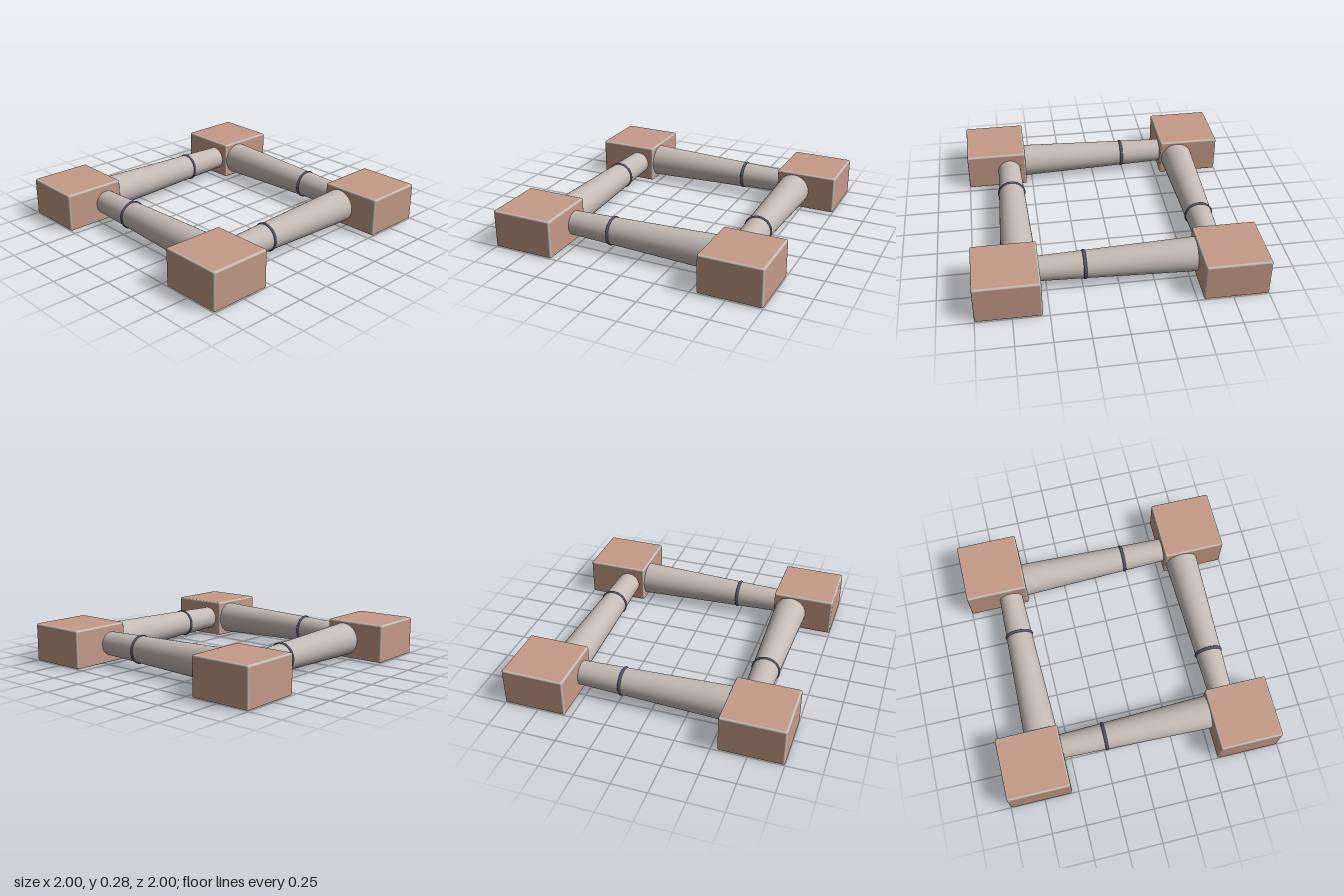
import * as THREE from 'three';
import { RoundedBoxGeometry } from 'three/addons/geometries/RoundedBoxGeometry.js';

const W = 0.453, H = 0.278;      // corner block footprint and height
const INSET = 0.011;             // width of the bare edge around each panel
const BLOCK = 1 - W / 2;         // block centre
const BAR = 0.677;               // bar axis distance from the middle

const material = (name, color) => {
  const m = new THREE.MeshStandardMaterial({ color });
  m.name = name;
  return m;
};

// Flat panel with slightly rounded corners, facing +z
function panelGeometry(w, h, r = 0.012) {
  const x = w / 2, y = h / 2;
  const s = new THREE.Shape();
  s.moveTo(-x + r, -y);
  s.lineTo(x - r, -y);
  s.quadraticCurveTo(x, -y, x, -y + r);
  s.lineTo(x, y - r);
  s.quadraticCurveTo(x, y, x - r, y);
  s.lineTo(-x + r, y);
  s.quadraticCurveTo(-x, y, -x, y - r);
  s.lineTo(-x, -y + r);
  s.quadraticCurveTo(-x, -y, -x + r, -y);
  return new THREE.ShapeGeometry(s, 4);
}

export function createModel() {
  const clay = material('clay panel', 0xc49a88);
  const stone = material('pale stone', 0xc5bbb6);
  const navy = material('navy band', 0x54546f);

  const add = (parent, name, geometry, mat) => {
    const mesh = new THREE.Mesh(geometry, mat);
    mesh.name = name;
    parent.add(mesh);
    return mesh;
  };

  const coreGeo = new RoundedBoxGeometry(W, H, W, 3, 0.012);
  const sideGeo = panelGeometry(W - 2 * INSET, H - 2 * INSET);
  const capGeo = panelGeometry(W - 2 * INSET, W - 2 * INSET);

  // Bar tapers from a thick end at +x to a thin end at -x
  const barGeo = new THREE.CylinderGeometry(0.087, 0.122, 1.11, 40, 1, true).rotateZ(Math.PI / 2);
  const bandGeo = new THREE.TorusGeometry(0.0925, 0.0125, 10, 40).rotateY(Math.PI / 2);

  const model = new THREE.Group();
  model.name = 'squareFrame';

  // Four identical quarters, each turned a further 90 degrees
  for (let i = 0; i < 4; i++) {
    const quarter = new THREE.Group();
    quarter.name = 'quarter' + (i + 1);
    quarter.rotation.y = i * Math.PI / 2;
    model.add(quarter);

    // Corner block: rounded core with a panel on every face
    const block = new THREE.Group();
    block.name = 'cornerBlock';
    block.position.set(BLOCK, H / 2, BLOCK);
    quarter.add(block);
    add(block, 'blockCore', coreGeo, stone);
    for (let k = 0; k < 4; k++) {
      const a = k * Math.PI / 2;
      const side = add(block, 'sidePanel', sideGeo, clay);
      side.rotation.y = a;
      side.position.set(Math.sin(a), 0, Math.cos(a)).multiplyScalar(W / 2 + 0.001);
    }
    for (const s of [1, -1]) {
      const cap = add(block, s > 0 ? 'topPanel' : 'bottomPanel', capGeo, clay);
      cap.rotation.x = -s * Math.PI / 2;
      cap.position.y = s * (H / 2 + 0.001);
    }

    // Tapered bar and its band
    add(quarter, 'taperedBar', barGeo, stone).position.set(0, H / 2, BAR);
    add(quarter, 'bandRing', bandGeo, navy).position.set(-0.232, H / 2, BAR);
  }
  return model;
}
